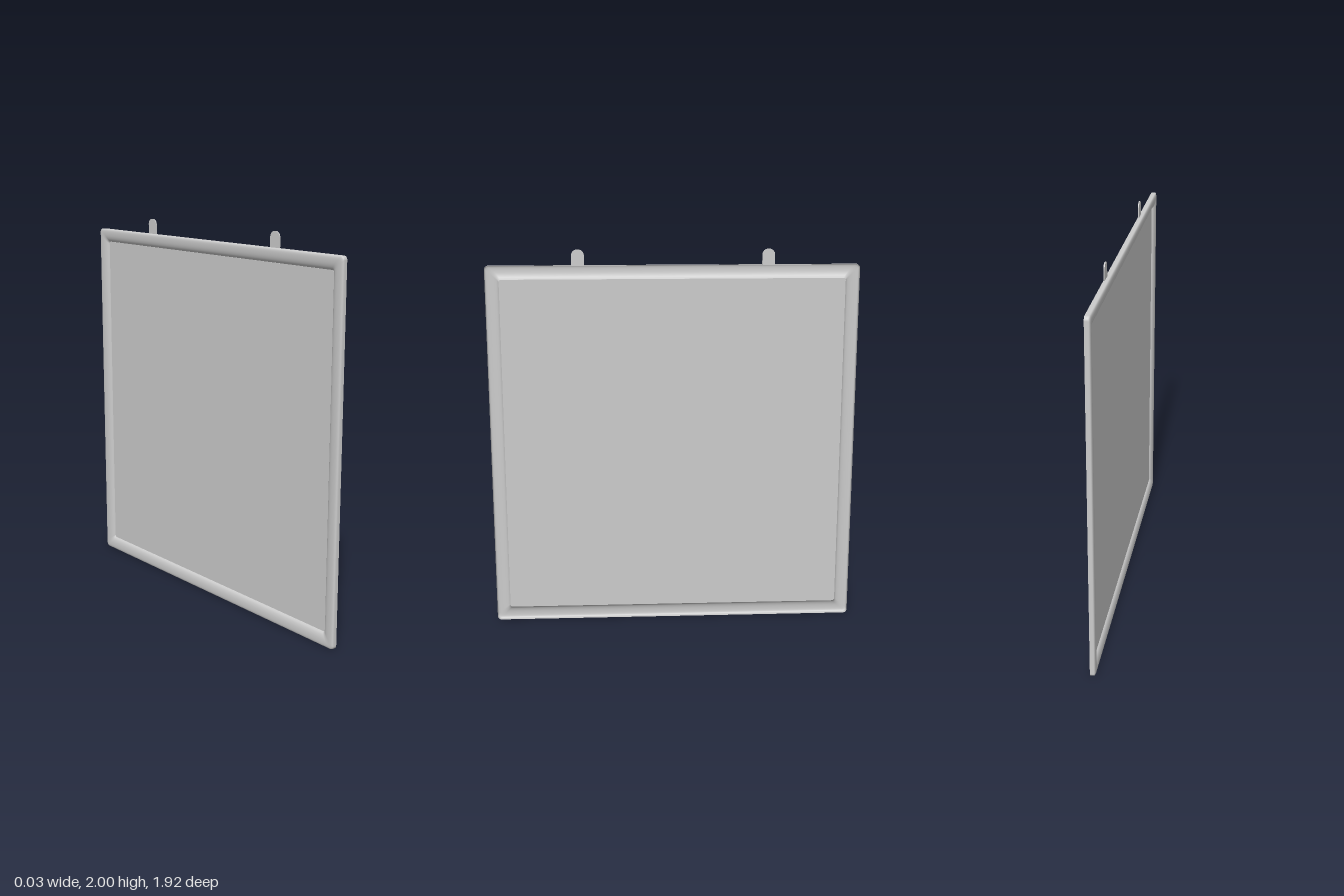
import * as THREE from 'three';

const HALF = 0.96; // half side of the square frame, also its centre height

// Points round a square with rounded corners, as [z, y] pairs
function roundedSquare(half, radius, steps = 6) {
  const points = [];
  for (let corner = 0; corner < 4; corner++) {
    const mid = Math.PI / 4 + corner * Math.PI / 2;
    const cz = Math.sign(Math.cos(mid)) * (half - radius);
    const cy = Math.sign(Math.sin(mid)) * (half - radius);
    for (let i = 0; i <= steps; i++) {
      const a = corner * Math.PI / 2 + (i / steps) * Math.PI / 2;
      points.push([cz + radius * Math.cos(a), cy + radius * Math.sin(a)]);
    }
  }
  return points;
}

// Hollow moulding: a profile of (half side, x) swept round the square
function frameGeometry() {
  const curve = new THREE.SplineCurve([
    [0.96, 0.013], [0.96, -0.006], [0.953, -0.013], [0.936, -0.0145],
    [0.915, -0.012], [0.898, -0.005], [0.888, 0.007],
  ].map(([r, x]) => new THREE.Vector2(r, x)));
  const profile = curve.getPoints(24);
  const positions = [], indices = [];
  let n = 0;
  profile.forEach((p) => {
    const radius = 0.012 + 0.008 * (p.x - 0.888) / 0.072;
    const ring = roundedSquare(p.x, radius);
    n = ring.length;
    ring.forEach(([z, y]) => positions.push(p.y, y, z));
  });
  for (let j = 0; j < profile.length - 1; j++) {
    for (let i = 0; i < n; i++) {
      const a = j * n + i, b = j * n + (i + 1) % n;
      indices.push(a, a + n, b, b, a + n, b + n);
    }
  }
  const geometry = new THREE.BufferGeometry();
  geometry.setAttribute('position', new THREE.Float32BufferAttribute(positions, 3));
  geometry.setIndex(indices);
  geometry.computeVertexNormals();
  return geometry;
}

// Flat plate facing x, from x0 to x1
function plate(shape, x0, x1) {
  const geometry = new THREE.ExtrudeGeometry(shape, {
    depth: x1 - x0, bevelEnabled: false, curveSegments: 10,
  });
  return geometry.rotateY(Math.PI / 2).translate(x0, 0, 0);
}

export function createModel() {
  const model = new THREE.Group();
  model.name = 'hangingPanel';
  const material = new THREE.MeshStandardMaterial({ color: 0xcccccc });
  const thin = new THREE.MeshStandardMaterial({ color: 0xcccccc, side: THREE.DoubleSide });

  function add(name, geometry, mat, y, z = 0) {
    const mesh = new THREE.Mesh(geometry, mat);
    mesh.name = name;
    mesh.position.set(0, y, z);
    model.add(mesh);
  }

  // Rounded moulding, open at the back
  add('frame', frameGeometry(), thin, HALF);

  // Flat panel inside the frame
  const outline = roundedSquare(0.889, 0.012).map(([z, y]) => new THREE.Vector2(z, y));
  add('panel', plate(new THREE.Shape(outline), 0.003, 0.007), material, HALF);

  // Two round-topped hanging tabs on the top edge
  const w = 0.0325, r = 0.03, h = 0.082;
  const tab = new THREE.Shape();
  tab.moveTo(-w, 0);
  tab.lineTo(w, 0);
  tab.lineTo(w, h - r);
  tab.absarc(w - r, h - r, r, 0, Math.PI / 2, false);
  tab.lineTo(r - w, h);
  tab.absarc(r - w, h - r, r, Math.PI / 2, Math.PI, false);
  tab.closePath();
  for (const side of [1, -1]) {
    add(side > 0 ? 'frontTab' : 'backTab', plate(tab, 0.006, 0.012), material, 1.918, side * 0.487);
  }
  return model;
}
